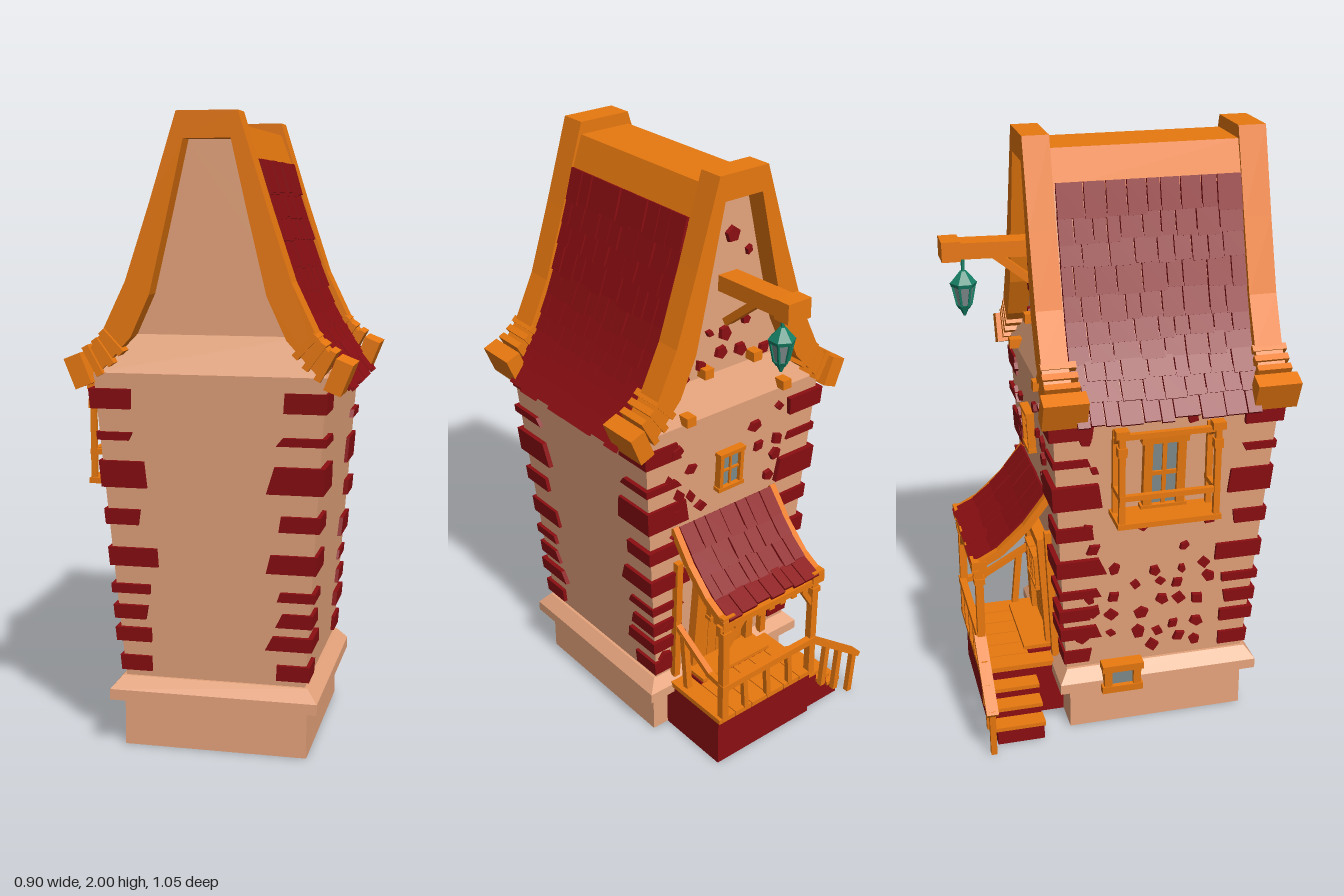
import * as THREE from 'three';

const paint = (color) => new THREE.MeshStandardMaterial({ color, flatShading: true });
const plaster = paint(0xe6a47c), wood = paint(0xe8780f), red = paint(0x8b0e12);
const teal = paint(0x168066), glass = paint(0x7f8c8c);

let seed = 7;
const rand = (a = 0, b = 1) => {
  seed = (seed * 16807) % 2147483647;
  return a + (b - a) * (seed / 2147483647);
};
const V = (x, y, z) => new THREE.Vector3(x, y, z);

function add(parent, name, geo, mat) {
  const m = new THREE.Mesh(geo, mat);
  m.name = name;
  parent.add(m);
  return m;
}
function group(parent, name) {
  const g = new THREE.Group();
  g.name = name;
  parent.add(g);
  return g;
}
function box(parent, name, mat, w, h, d, x, y, z, rz = 0) {
  const m = add(parent, name, new THREE.BoxGeometry(w, h, d), mat);
  m.position.set(x, y, z);
  m.rotation.z = rz;
  return m;
}
// Straight timber between two points
function beam(parent, name, a, b, w, d = w, mat = wood) {
  const m = add(parent, name, new THREE.BoxGeometry(w, d, a.distanceTo(b)), mat);
  m.position.copy(a).add(b).multiplyScalar(0.5);
  const up = Math.abs(b.y - a.y) > 0.95 * a.distanceTo(b) ? V(0, 0, 1) : V(0, 1, 0);
  m.quaternion.setFromRotationMatrix(new THREE.Matrix4().lookAt(b, a, up));
  return m;
}
// Block whose bottom and top are two different rectangles [x0, x1, z0, z1]
function frustum(parent, name, mat, y0, r0, y1, r1) {
  const geo = new THREE.BoxGeometry(1, 1, 1), p = geo.attributes.position;
  for (let i = 0; i < p.count; i++) {
    const top = p.getY(i) > 0, r = top ? r1 : r0;
    p.setXYZ(i, p.getX(i) > 0 ? r[1] : r[0], top ? y1 : y0, p.getZ(i) > 0 ? r[3] : r[2]);
  }
  geo.computeVertexNormals();
  return add(parent, name, geo, mat);
}
function extrude(parent, name, mat, pts, z0, z1) {
  const shape = new THREE.Shape(pts.map(([x, y]) => new THREE.Vector2(x, y)));
  const m = add(parent, name, new THREE.ExtrudeGeometry(shape, { depth: z1 - z0, bevelEnabled: false }), mat);
  m.position.z = z0;
  return m;
}
const mirrored = (pts) => [...pts, ...pts.map(([x, y]) => [-x, y]).reverse()];

// Rows of uneven shingles down a slope that falls towards +x and runs along z
function shingles(parent, name, rows, length, tileWidth) {
  const g = group(parent, name);
  for (let i = 0; i < rows.length - 1; i++) {
    const [x0, y0] = rows[i], [x1, y1] = rows[i + 1];
    const a = Math.atan2(y1 - y0, x1 - x0), row = Math.hypot(x1 - x0, y1 - y0);
    let z = -length / 2;
    while (z < length / 2 - 0.01) {
      let w = tileWidth * rand(0.65, 1.35);
      if (z + w > length / 2 - 0.02) w = length / 2 - z;
      const extra = 0.012 + rand(0, 0.014), along = row / 2 + extra / 2, lift = 0.007 + rand(0, 0.004);
      box(g, 'shingle', red, row + extra, 0.013, w - 0.004,
        x0 + Math.cos(a) * along - Math.sin(a) * lift,
        y0 + Math.sin(a) * along + Math.cos(a) * lift, z + w / 2, a + 0.06);
      z += w;
    }
  }
  return g;
}

// Framed pane facing +z
function pane(parent, name, w, h, x, y, bar = 0.018, cross = true) {
  const g = group(parent, name);
  g.position.set(x, y, 0);
  box(g, 'glass', glass, w, h, 0.02, 0, 0, 0.002);
  for (const s of [-1, 1]) {
    box(g, 'frameSide', wood, bar, h + bar, 0.04, s * w / 2, 0, 0.006);
    box(g, 'frameRail', wood, w + bar * 1.6, bar, 0.045, 0, s * h / 2, 0.006);
  }
  if (cross) {
    box(g, 'mullion', wood, bar * 0.5, h, 0.03, 0, 0, 0.004);
    box(g, 'transom', wood, w, bar * 0.5, 0.03, 0, 0, 0.004);
  }
  return g;
}

// Irregular flat stones on a jittered grid, skipping openings [x0, x1, y0, y1]
function stones(wall, halfWidth, y0, y1, step, openings) {
  for (let y = y0; y < y1; y += step) for (let x = -halfWidth(y); x <= halfWidth(y); x += step) {
    const px = x + rand(-0.025, 0.025), py = y + rand(-0.025, 0.025), r = rand(0.017, 0.03);
    if (rand() < 0.22 || openings.some((o) => px > o[0] && px < o[1] && py > o[2] && py < o[3])) continue;
    const s = add(wall, 'stone', new THREE.CylinderGeometry(r * 0.9, r, 0.018, rand() < 0.5 ? 4 : 5), red);
    s.position.set(px, py, 0.004);
    s.rotation.set(Math.PI / 2, rand(0, 6), 0);
    s.scale.set(rand(0.7, 1), 1, 1);
  }
}

export function createModel() {
  const root = new THREE.Group();
  root.name = 'towerHouse';
  const tower = group(root, 'tower');
  tower.position.x = 0.006;

  // Plinth, ledge and walls that widen upwards
  const rect = (y, o = 0) => {
    const t = (y - 0.23) / 0.94, x = 0.29 + 0.068 * t + o;
    return [-x, x, -0.2 - 0.05 * t - o, 0.42 + 0.07 * t + o];
  };
  frustum(tower, 'plinth', plaster, 0, [-0.296, 0.296, -0.19, 0.42], 0.16, [-0.296, 0.296, -0.19, 0.42]);
  frustum(tower, 'ledge', plaster, 0.16, [-0.335, 0.335, -0.23, 0.46], 0.195, [-0.335, 0.335, -0.23, 0.46]);
  frustum(tower, 'ledgeSlope', plaster, 0.195, [-0.335, 0.335, -0.23, 0.46], 0.235, [-0.3, 0.3, -0.2, 0.43]);
  frustum(tower, 'walls', plaster, 0.23, rect(0.23), 1.22, rect(1.22));
  frustum(tower, 'wallShoulder', plaster, 1.22, rect(1.22), 1.335, [-0.28, 0.28, -0.205, 0.435]);

  // Corner stones: [bottom, top, length]
  const courses = [[0.255, 0.305, 0.1], [0.355, 0.4, 0.125], [0.43, 0.475, 0.1], [0.515, 0.545, 0.115],
    [0.605, 0.665, 0.145], [0.74, 0.79, 0.115], [0.86, 0.945, 0.145], [1.01, 1.036, 0.12], [1.11, 1.172, 0.135]];
  for (const [y0, y1, len] of courses) for (const sx of [0, 1]) for (const sz of [2, 3]) {
    const out = rand(0.008, 0.018), skew = rand(-0.025, 0.015), l = len + rand(-0.01, 0.015);
    const corner = (y, n) => {
      const r = rect(y, out);
      r[1 - sx] = r[sx] + (sx ? -n : n);
      r[5 - sz] = r[sz] + (sz === 3 ? -n : n);
      return r;
    };
    frustum(tower, 'cornerStone', red, y0, corner(y0, l - skew), y1, corner(y1, l));
  }

  // Gable core, shingled slopes and ridge
  extrude(tower, 'gable', plaster, mirrored([[0.09, 1.94], [0.13, 1.84], [0.18, 1.645], [0.237, 1.465],
    [0.305, 1.32], [0.395, 1.18], [0.34, 1.2]]), -0.205, 0.43);
  const rows = [[0.128, 1.86], [0.147, 1.775], [0.167, 1.7], [0.188, 1.63], [0.213, 1.545], [0.24, 1.465],
    [0.264, 1.405], [0.29, 1.35], [0.323, 1.295], [0.36, 1.24], [0.4, 1.182]];
  for (const turn of [0, Math.PI]) {
    const slope = shingles(tower, turn ? 'rightRoof' : 'leftRoof', rows, 0.595, 0.065);
    slope.rotation.y = turn;
    slope.position.z = 0.1125;
  }
  frustum(tower, 'ridge', wood, 1.84, [-0.138, 0.138, -0.2, 0.42], 1.96, [-0.094, 0.094, -0.2, 0.42]);

  // Curved gable boards with banded, blocky feet
  const outer = [[0.093, 2], [0.178, 1.73], [0.255, 1.5], [0.33, 1.345], [0.38, 1.28]];
  const inner = [[0.345, 1.215], [0.24, 1.33], [0.18, 1.46], [0.125, 1.69], [0.072, 1.92]];
  for (const [z0, z1, zFoot] of [[0.41, 0.5, 0.458], [-0.275, -0.19, -0.222]]) {
    extrude(tower, 'gableBoard', wood, mirrored([...outer, ...inner]), z0, z1);
    for (const s of [-1, 1]) {
      box(tower, 'boardFoot', wood, 0.055, 0.1, 0.142, s * 0.4, 1.227, zFoot, -s * 0.38);
      for (const [x, y, h, a] of [[0.358, 1.258, 0.1, 0.5], [0.325, 1.285, 0.095, 0.62], [0.298, 1.315, 0.092, 0.75]])
        box(tower, 'boardBand', wood, 0.022, h, 0.112, s * x, y, zFoot, -s * a);
    }
  }

  // Back wall: stones, window and door
  const back = group(tower, 'backWall');
  back.position.set(0, 0.23, -0.2);
  back.rotation.set(0.053, Math.PI, 0, 'YXZ');
  stones(back, () => 0.24, 0.06, 0.96, 0.085, [[-0.25, 0.21, -1, 0.56], [-0.12, 0.08, 0.64, 0.9]]);
  pane(back, 'backWindow', 0.085, 0.13, -0.02, 0.77, 0.014);
  const door = group(back, 'door');
  for (let i = -2; i <= 2; i++) box(door, 'plank', wood, 0.038, 0.36, 0.02, i * 0.04 - 0.02, 0.18, 0.008);
  for (const s of [-1, 1]) {
    box(door, 'doorPost', wood, 0.03, 0.42, 0.05, s * 0.115 - 0.02, 0.2, 0.01, s * 0.04);
    pane(door, 'doorPane', 0.05, 0.12, s * 0.04 - 0.02, 0.25, 0.014, false).position.z = 0.018;
  }
  box(door, 'lintel', wood, 0.29, 0.035, 0.055, -0.02, 0.4, 0.012);
  const gableStones = group(tower, 'gableStones');
  gableStones.position.z = -0.206;
  gableStones.rotation.y = Math.PI;
  stones(gableStones, (y) => 0.2 - (y - 1.36) * 0.3, 1.38, 1.86, 0.085, [[-0.05, 0.05, 1.5, 1.72]]);
  for (const [x, y, z] of [[0.1, 1.36, -0.215], [0.2, 1.24, -0.25]]) for (const s of [-1, 1])
    box(tower, 'beamEnd', wood, 0.035, 0.032, 0.06, s * x, y, z);

  // Right wall: stones, balcony door and cellar window
  const side = group(tower, 'rightWall');
  side.position.set(-0.29, 0.23, 0.11);
  side.rotation.set(0.072, -Math.PI / 2, 0, 'YXZ');
  stones(side, () => 0.24, 0.06, 0.94, 0.08, [[-0.19, 0.19, 0.58, 0.9], [-0.23, -0.03, -1, 0.1]]);
  pane(side, 'balconyDoor', 0.11, 0.25, 0, 0.74, 0.028);
  pane(side, 'cellarWindow', 0.1, 0.085, -0.13, -0.015, 0.026, false).position.z = 0.045;

  // Balcony
  const balcony = group(root, 'balcony');
  box(balcony, 'floor', wood, 0.12, 0.018, 0.34, -0.388, 0.835, 0.105);
  for (const z of [-0.05, 0.26]) {
    box(balcony, 'post', wood, 0.018, 0.31, 0.02, -0.434, 0.99, z);
    box(balcony, 'postCollar', wood, 0.026, 0.03, 0.03, -0.434, 1.09, z);
    box(balcony, 'postCap', wood, 0.036, 0.025, 0.042, -0.432, 1.15, z);
    beam(balcony, 'sideRail', V(-0.445, 0.93, z), V(-0.335, 0.93, z), 0.018);
    beam(balcony, 'roofBrace', V(-0.43, 1.14, z), V(-0.355, 1.09, z), 0.015);
    box(balcony, 'wallPost', wood, 0.018, 0.3, 0.02, -0.352, 0.98, z);
  }
  beam(balcony, 'frontRail', V(-0.434, 0.93, -0.06), V(-0.434, 0.93, 0.27), 0.018);
  beam(balcony, 'topRail', V(-0.425, 1.135, -0.06), V(-0.425, 1.135, 0.27), 0.018);

  // Porch base, deck and steps
  const porch = group(root, 'porch');
  box(porch, 'base', red, 0.42, 0.185, 0.28, 0.03, 0.0925, -0.325);
  box(porch, 'doorStep', red, 0.3, 0.03, 0.12, 0.03, 0.2, -0.24);
  box(porch, 'sill', wood, 0.3, 0.014, 0.13, 0.03, 0.228, -0.25);
  for (let i = 0; i < 6; i++) box(porch, 'deckPlank', wood, 0.07, 0.018, 0.285, -0.15 + i * 0.073, 0.195, -0.34);
  for (let i = 0; i < 3; i++) {
    const x = -0.205 - i * 0.052, h = 0.14 - i * 0.042;
    box(porch, 'stepBase', red, 0.052, h, 0.16, x, h / 2, -0.37);
    box(porch, 'stepTread', wood, 0.06, 0.014, 0.172, x - 0.004, h + 0.007, -0.372);
  }
  // Porch posts and rails
  for (const x of [0.225, -0.17]) {
    box(porch, 'post', wood, 0.026, 0.42, 0.026, x, 0.4, -0.47);
    box(porch, 'postCap', wood, 0.05, 0.04, 0.05, x, 0.61, -0.47);
    box(porch, 'postCollar', wood, 0.036, 0.02, 0.036, x, 0.55, -0.47);
    beam(porch, 'wallPost', V(x, 0.22, -0.215), V(x, 0.7, -0.235), 0.024);
    const curve = [[-0.23, 0.84], [-0.31, 0.735], [-0.4, 0.652], [-0.49, 0.605]];
    for (let i = 0; i < 3; i++) beam(porch, 'rafter', V(x * 1.06, curve[i][1], curve[i][0]),
      V(x * 1.06, curve[i + 1][1], curve[i + 1][0]), 0.024, 0.026);
    beam(porch, 'postBrace', V(x, 0.48, -0.47), V(x * 0.6, 0.59, -0.47), 0.018);
  }
  beam(porch, 'sideRail', V(0.225, 0.45, -0.21), V(0.225, 0.34, -0.4), 0.02);
  beam(porch, 'sideRailEnd', V(0.225, 0.34, -0.39), V(0.225, 0.33, -0.485), 0.02);
  beam(porch, 'sideBaluster', V(0.225, 0.21, -0.285), V(0.225, 0.42, -0.265), 0.022);
  beam(porch, 'backRail', V(-0.18, 0.335, -0.475), V(0.24, 0.33, -0.475), 0.024);
  for (const x of [-0.07, 0.03, 0.13]) beam(porch, 'baluster', V(x, 0.2, -0.475), V(x + 0.01, 0.33, -0.475), 0.018);
  beam(porch, 'eaveBeam', V(-0.2, 0.59, -0.48), V(0.26, 0.59, -0.48), 0.022);
  for (let i = 0; i < 7; i++) box(porch, 'eaveBlock', wood, 0.022, 0.025, 0.04, -0.12 + i * 0.05, 0.575, -0.465);
  // Handrail down the steps
  beam(porch, 'stairRail', V(-0.17, 0.335, -0.475), V(-0.4, 0.165, -0.475), 0.04, 0.018);
  for (const [x, y0, y1] of [[-0.375, 0, 0.18], [-0.3, 0.05, 0.235], [-0.235, 0.1, 0.285]])
    beam(porch, 'stairBaluster', V(x, y0, -0.472), V(x - 0.012, y1, -0.475), 0.02);
  // Porch roof
  const cover = shingles(porch, 'porchRoof', [[0, 0.84], [0.05, 0.772], [0.1, 0.713], [0.165, 0.655], [0.235, 0.618]], 0.4, 0.055);
  cover.rotation.y = Math.PI / 2;
  cover.position.set(0.03, 0, -0.235);

  // Lantern on its bracket
  beam(root, 'lanternArm', V(0.005, 1.635, -0.2), V(0.005, 1.642, -0.52), 0.075, 0.052);
  box(root, 'armEnd', wood, 0.09, 0.064, 0.06, 0.005, 1.642, -0.495);
  beam(root, 'armBrace', V(0.005, 1.62, -0.36), V(0.005, 1.5, -0.21), 0.035, 0.025);
  const lantern = group(root, 'lantern');
  lantern.position.set(0.005, 0, -0.455);
  const ring = (name, mat, rt, rb, y0, y1) => {
    add(lantern, name, new THREE.CylinderGeometry(rt, rb, y1 - y0, 6), mat).position.y = (y0 + y1) / 2;
  };
  ring('hook', teal, 0.006, 0.006, 1.56, 1.62);
  ring('cap', teal, 0.01, 0.042, 1.53, 1.568);
  ring('rim', teal, 0.044, 0.04, 1.518, 1.53);
  ring('lampGlass', glass, 0.034, 0.021, 1.455, 1.52);
  ring('foot', teal, 0.026, 0.018, 1.443, 1.457);
  ring('tip', teal, 0.014, 0.004, 1.42, 1.443);
  for (let i = 0; i < 6; i++) {
    const s = Math.sin(i * Math.PI / 3), c = Math.cos(i * Math.PI / 3);
    beam(lantern, 'lampBar', V(s * 0.022, 1.455, c * 0.022), V(s * 0.036, 1.522, c * 0.036), 0.007, 0.007, teal);
  }
  return root;
}
